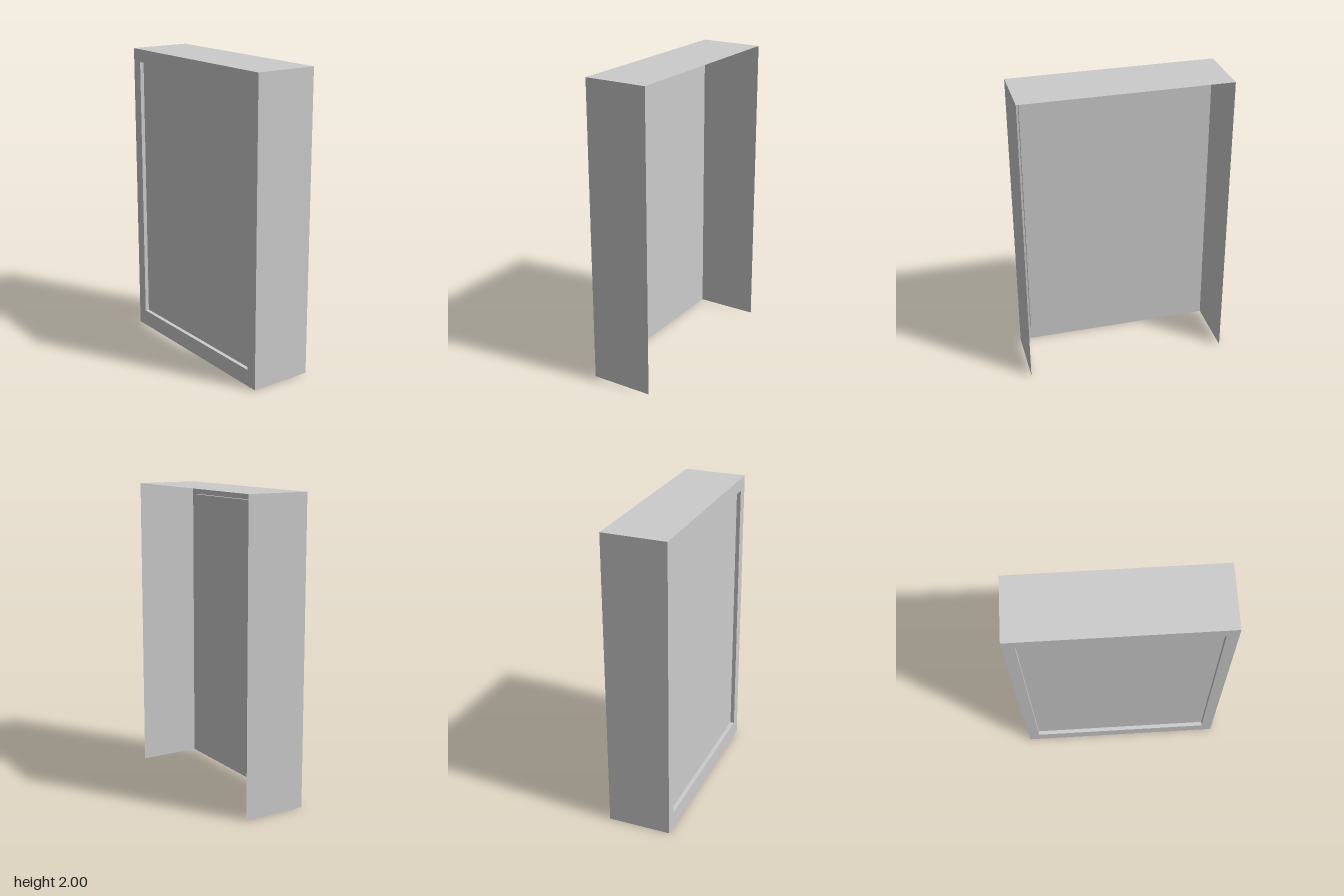
import * as THREE from 'three';

export function createModel() {
  const W = 1.36, H = 2, D = 0.42;                // outer shell
  const w = 1.21, y0 = 0.11, y1 = 1.915;          // recessed opening
  const depth = 0.027;                            // recess depth
  const h = y1 - y0, yc = (y0 + y1) / 2, zFront = D / 2;

  const group = new THREE.Group();
  const material = new THREE.MeshStandardMaterial({
    color: 0xcccccc, flatShading: true, side: THREE.DoubleSide,
  });

  // Thin sheet, turned about x or y and placed by its centre
  function sheet(name, width, height, position, rx = 0, ry = 0) {
    const mesh = new THREE.Mesh(new THREE.PlaneGeometry(width, height), material);
    mesh.name = name;
    mesh.position.set(...position);
    mesh.rotation.set(rx, ry, 0);
    group.add(mesh);
  }

  // Front frame with a rectangular opening
  const rect = (path, x, a, b) =>
    path.moveTo(-x, a).lineTo(x, a).lineTo(x, b).lineTo(-x, b).closePath();
  const outline = new THREE.Shape();
  rect(outline, W / 2, 0, H);
  const opening = new THREE.Path();
  rect(opening, w / 2, y0, y1);
  outline.holes.push(opening);
  const frame = new THREE.Mesh(new THREE.ShapeGeometry(outline), material);
  frame.name = 'frontFrame';
  frame.position.z = zFront;
  group.add(frame);

  // Recessed panel and the lips joining it to the frame
  const zLip = zFront - depth / 2;
  sheet('recessedPanel', w, h, [0, yc, zFront - depth]);
  sheet('lowerLip', w, depth, [0, y0, zLip], -Math.PI / 2);
  sheet('upperLip', w, depth, [0, y1, zLip], Math.PI / 2);

  // Side walls with matching lips
  for (const [side, s] of [['left', 1], ['right', -1]]) {
    sheet(side + 'Wall', D, H, [s * W / 2, H / 2, 0], 0, s * Math.PI / 2);
    sheet(side + 'Lip', depth, h, [s * w / 2, yc, zLip], 0, -s * Math.PI / 2);
  }

  // Top cover; back and underside stay open
  sheet('topCover', W, D, [0, H, 0], -Math.PI / 2);

  return group;
}
